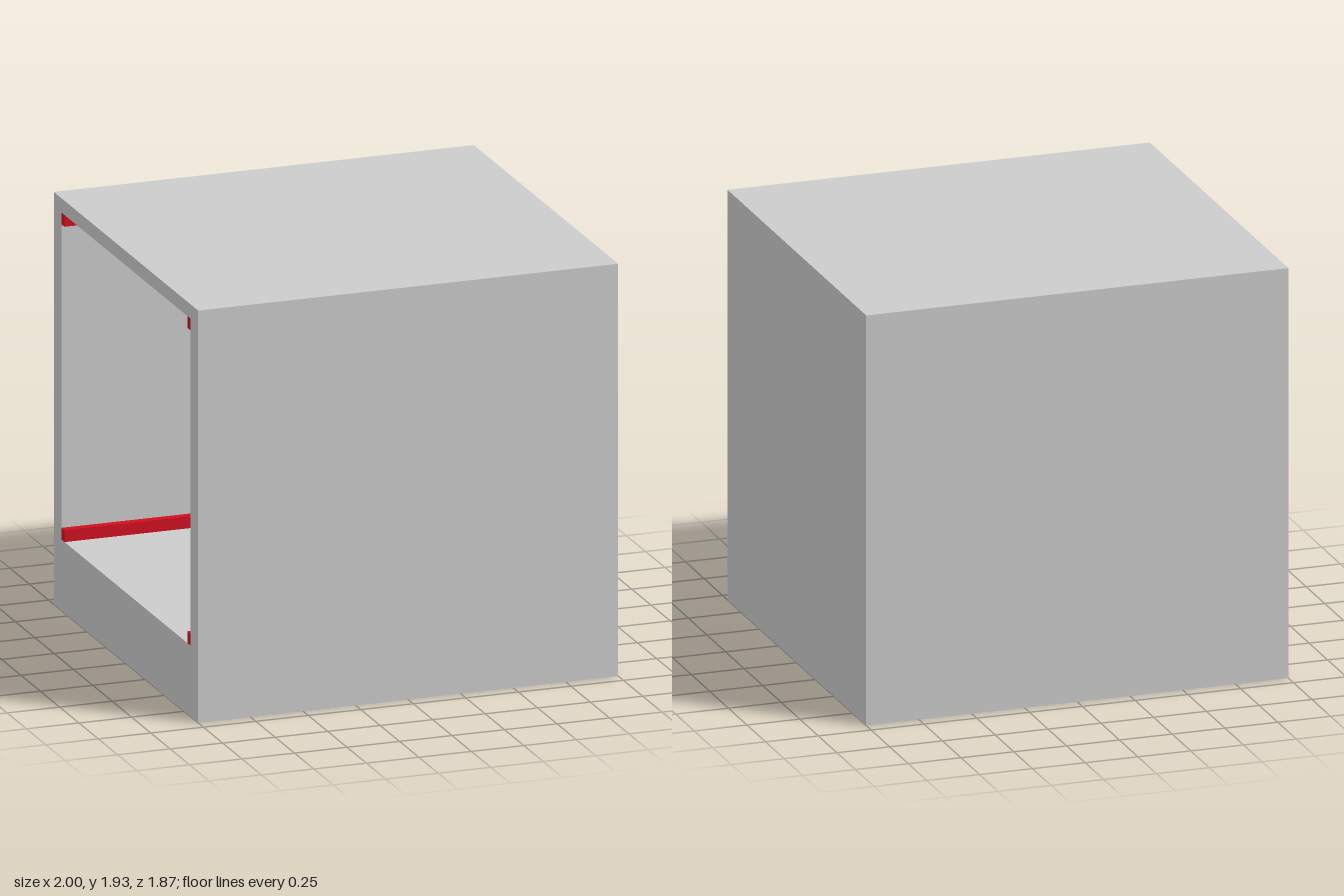
import * as THREE from 'three';

// Overall size, wall thicknesses and the opening on the -x side
const W = 2, H = 1.933, D = 1.867;
const SIDE = 0.1, TOP = 0.067, BOTTOM = 0.333, END = 0.1;
const RAIL_H = 0.055, RAIL_D = 0.04;

function rectangle(Path, z0, z1, y0, y1) {
  const p = new Path();
  p.moveTo(z0, y0);
  p.lineTo(z1, y0);
  p.lineTo(z1, y1);
  p.lineTo(z0, y1);
  p.closePath();
  return p;
}

export function createModel() {
  const group = new THREE.Group();
  const grey = new THREE.MeshStandardMaterial({ color: 0xcccccc });
  const red = new THREE.MeshStandardMaterial({ color: 0xd01020 });

  const add = (name, geometry, material, x, y, z) => {
    const mesh = new THREE.Mesh(geometry, material);
    mesh.name = name;
    mesh.position.set(x, y, z);
    group.add(mesh);
    return mesh;
  };

  // Hollow casing: rectangular tube running along x
  const zIn = D / 2 - SIDE, yLow = BOTTOM, yHigh = H - TOP;
  const section = rectangle(THREE.Shape, -D / 2, D / 2, 0, H);
  section.holes.push(rectangle(THREE.Path, -zIn, zIn, yLow, yHigh));
  const tube = new THREE.ExtrudeGeometry(section, { depth: W - END, bevelEnabled: false });
  tube.rotateY(Math.PI / 2);
  add('casing', tube, grey, -W / 2, 0, 0);

  // Closed end on the +x side
  add('endWall', new THREE.BoxGeometry(END, H, D), grey, W / 2 - END / 2, H / 2, 0);

  // Red rails along the four inner edges
  const length = W - END;
  for (const side of [-1, 1]) {
    for (const upper of [false, true]) {
      const y = upper ? yHigh - RAIL_H / 2 : yLow + RAIL_H / 2;
      add(`${upper ? 'upper' : 'lower'}${side > 0 ? 'Front' : 'Back'}Rail`,
        new THREE.BoxGeometry(length, RAIL_H, RAIL_D), red,
        -END / 2, y, side * (zIn - RAIL_D / 2));
    }
  }
  return group;
}
